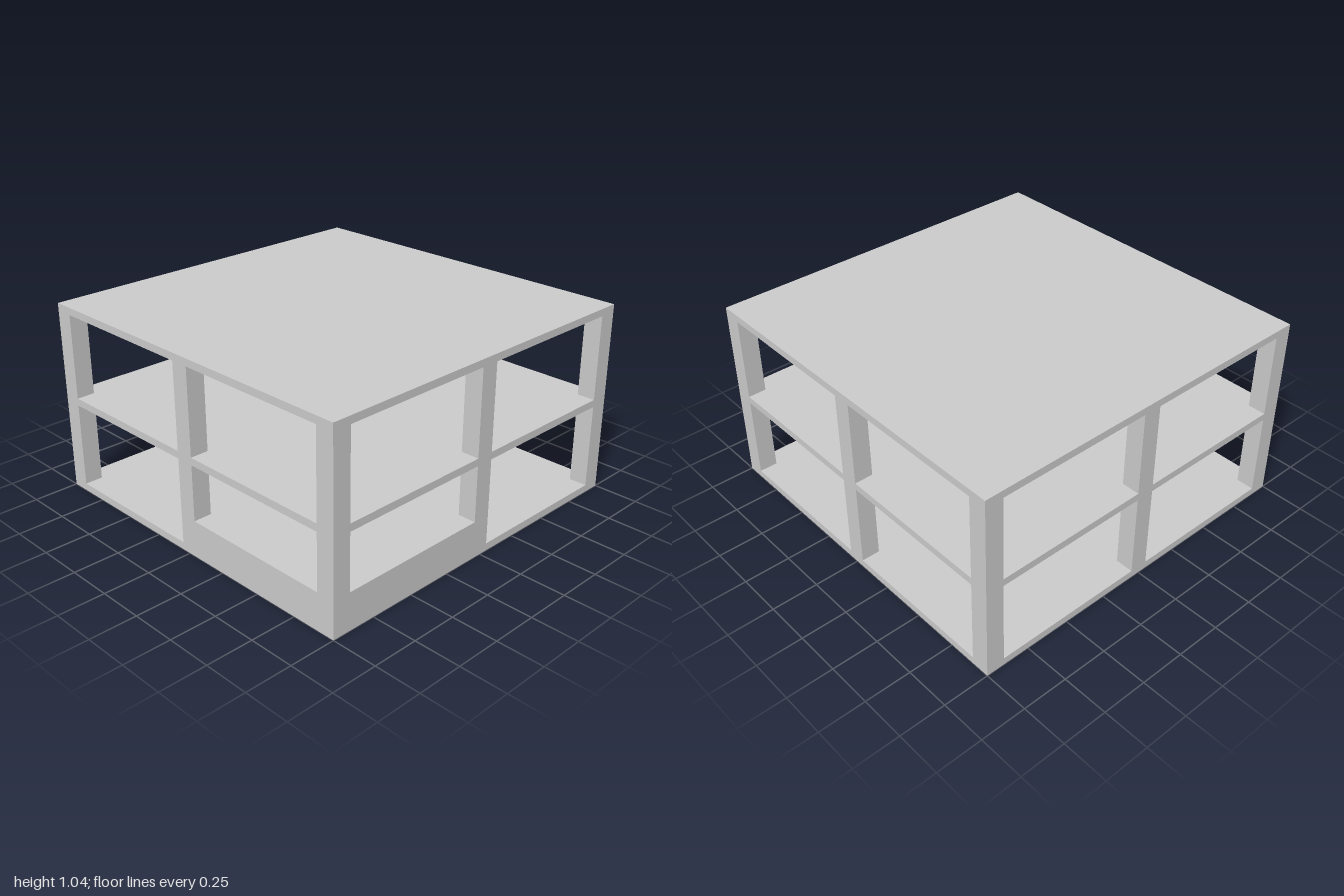
import * as THREE from 'three';

const SLAB = 0.04, COL = 0.1;
const LEVELS = [0, 0.502, 1.004]; // underside of each slab

export function createModel() {
  const model = new THREE.Group();
  const material = new THREE.MeshStandardMaterial({ color: 0xcccccc, flatShading: true });

  // Box given by its minimum and maximum corners
  function box(name, [x0, y0, z0], [x1, y1, z1]) {
    const mesh = new THREE.Mesh(new THREE.BoxGeometry(x1 - x0, y1 - y0, z1 - z0), material);
    mesh.position.set((x0 + x1) / 2, (y0 + y1) / 2, (z0 + z1) / 2);
    mesh.name = name;
    model.add(mesh);
  }

  // Ground slab, upper floor and roof
  ['groundSlab', 'upperFloor', 'roof'].forEach((name, i) =>
    box(name, [-1, LEVELS[i], -1], [1, LEVELS[i] + SLAB, 1]));

  // Three by three grid of columns on each storey
  const h = COL / 2, grid = [-1 + h, 0, 1 - h];
  for (let s = 0; s < 2; s++)
    for (const x of grid)
      for (const z of grid)
        box('column', [x - h, LEVELS[s] + SLAB, z - h], [x + h, LEVELS[s + 1], z + h]);

  // Low parapet walls around the front left corner bay
  box('frontParapet', [h, SLAB, 1 - COL], [1 - COL, 0.2, 1]);
  box('sideParapet', [1 - COL, SLAB, h], [1, 0.2, 1 - COL]);

  return model;
}
